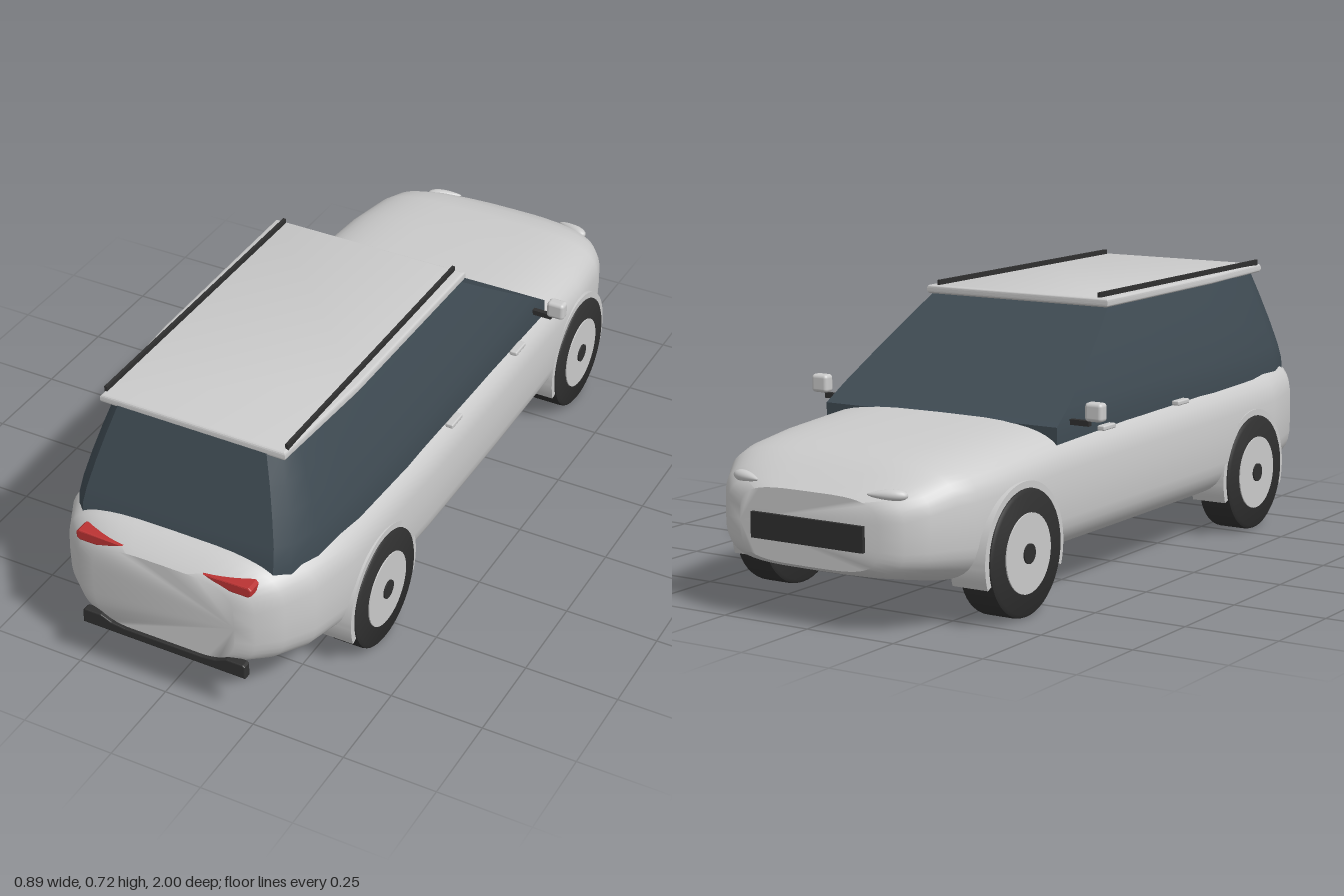
import * as THREE from 'three';
import { toCreasedNormals } from 'three/addons/utils/BufferGeometryUtils.js';
import { RoundedBoxGeometry } from 'three/addons/geometries/RoundedBoxGeometry.js';

const mat = (color) => new THREE.MeshStandardMaterial({ color });
const paint = mat(0xcccccc), glass = mat(0x3f4b53), rubber = mat(0x303030), red = mat(0xbb3333);

// Closed skin through rings of [x, y, z], with both ends capped
function loft(rings, crease) {
  const n = rings[0].length, pos = rings.flat(2), idx = [];
  for (let i = 0; i < rings.length - 1; i++)
    for (let j = 0; j < n; j++) {
      const k = (j + 1) % n, a = i * n + j, b = i * n + k;
      idx.push(a, a + n, b, b, a + n, b + n);
    }
  const last = (rings.length - 1) * n;
  for (let j = 1; j < n - 1; j++) idx.push(0, j, j + 1, last, last + j + 1, last + j);
  const g = new THREE.BufferGeometry();
  g.setAttribute('position', new THREE.Float32BufferAttribute(pos, 3));
  g.setIndex(idx);
  return toCreasedNormals(g, crease);
}

// Body section: rounded rectangle given by a superellipse
function bodyRing([z, w, y0, y1]) {
  const p = 2 / 3.9, pts = [];
  for (let i = 0; i < 48; i++) {
    const a = (i / 48) * Math.PI * 2, c = Math.cos(a), s = Math.sin(a);
    pts.push([w * Math.sign(c) * Math.abs(c) ** p,
      (y0 + y1) / 2 + ((y1 - y0) / 2) * Math.sign(s) * Math.abs(s) ** p, z]);
  }
  return pts;
}

// Cabin section: square at the windscreen, rounded at the tail
function cabinRing([y, w, f, r]) {
  const half = [[1, 0], [1, 0.3], [0.995, 0.6], [0.97, 0.78], [0.92, 0.91], [0.85, 0.975], [0.76, 1]];
  const side = (s) => half.map(([x, t]) => [s * x * w, y, f + t * (r - f)]);
  return [...side(1), ...side(-1).reverse()];
}

function polygon(points) {
  return new THREE.Shape(points.map(([x, y]) => new THREE.Vector2(x, y)));
}

export function createModel() {
  const car = new THREE.Group();
  car.name = 'car';
  const add = (name, geo, material, x = 0, y = 0, z = 0, parent = car) => {
    const m = new THREE.Mesh(geo, material);
    m.name = name;
    m.position.set(x, y, z);
    parent.add(m);
    return m;
  };
  const box = (w, h, d) => new THREE.BoxGeometry(w, h, d);

  // Body shell, tail to nose: z, half width, bottom, top
  const stations = [
    [0.99, 0.2, 0.155, 0.395], [0.975, 0.25, 0.148, 0.41], [0.93, 0.305, 0.138, 0.44],
    [0.85, 0.347, 0.122, 0.452], [0.7, 0.373, 0.1, 0.455], [0.3, 0.386, 0.1, 0.455],
    [-0.1, 0.386, 0.1, 0.45], [-0.45, 0.381, 0.1, 0.44], [-0.65, 0.377, 0.1, 0.428],
    [-0.8, 0.36, 0.1, 0.415], [-0.86, 0.34, 0.112, 0.405], [-0.92, 0.305, 0.125, 0.375],
    [-0.965, 0.262, 0.137, 0.348], [-0.99, 0.205, 0.15, 0.333],
  ];
  add('body', loft(stations.map(bodyRing), 0.75), paint);

  // Glass cabin, bottom to top: y, half width, front z, rear z
  const levels = [
    [0.39, 0.352, -0.44, 0.92], [0.435, 0.352, -0.44, 0.915], [0.48, 0.344, -0.37, 0.9],
    [0.55, 0.323, -0.265, 0.877], [0.62, 0.299, -0.16, 0.853], [0.695, 0.27, -0.05, 0.828],
  ];
  add('glassCabin', loft(levels.map(cabinRing), 0.5), glass);

  // Roof panel
  const roof = new THREE.ExtrudeGeometry(
    polygon([[-0.272, -0.07], [0.272, -0.07], [0.267, 0.5], [0.247, 0.82], [-0.247, 0.82], [-0.267, 0.5]]),
    { depth: 0.006, bevelSize: 0.009, bevelThickness: 0.009, bevelSegments: 4 });
  add('roof', toCreasedNormals(roof.rotateX(Math.PI / 2), 0.6), paint, 0, 0.701, 0);

  // Wheel arch lip, along x
  const lip = new THREE.Shape();
  lip.absarc(0, 0, 0.176, -0.35, Math.PI + 0.35, false);
  lip.absarc(0, 0, 0.155, Math.PI + 0.35, -0.35, true);
  const arch = toCreasedNormals(new THREE.ExtrudeGeometry(lip, { depth: 0.1, bevelEnabled: false, curveSegments: 32 })
    .translate(0, 0, -0.05).rotateY(Math.PI / 2), 0.5);

  // Tyre profile turned about the axle
  const tyre = toCreasedNormals(new THREE.LatheGeometry(
    [[0, -0.05], [0.15, -0.05], [0.158, -0.045], [0.16, -0.038], [0.16, 0.038], [0.158, 0.045], [0.15, 0.05], [0, 0.05]]
      .map(([r, h]) => new THREE.Vector2(r, h)), 48).rotateZ(-Math.PI / 2), 0.6);
  const disc = (r, w) => new THREE.CylinderGeometry(r, r, w, 40).rotateZ(Math.PI / 2);

  for (const s of [1, -1]) {
    const tag = s > 0 ? 'Left' : 'Right';

    // Wheels and arches
    for (const [z, end] of [[0.56, 'tail'], [-0.63, 'nose']]) {
      const wheel = new THREE.Group();
      wheel.name = `${end}${tag}Wheel`;
      wheel.position.set(s * 0.338, 0.16, z);
      car.add(wheel);
      add('tyre', tyre, rubber, 0, 0, 0, wheel);
      add('rim', disc(0.1, 0.01), paint, s * 0.048, 0, 0, wheel);
      add('hubCap', disc(0.025, 0.014), rubber, s * 0.05, 0, 0, wheel);
      add(`${end}${tag}Arch`, arch, paint, s * 0.33, 0.16, z);
    }

    // Roof rails
    add(`roofRail${tag}`, box(0.008, 0.016, 0.88), rubber, s * 0.25, 0.715, 0.37);

    // Mirrors
    add(`mirrorArm${tag}`, box(0.09, 0.014, 0.014), rubber, s * 0.36, 0.44, -0.37);
    add(`mirror${tag}`, new RoundedBoxGeometry(0.05, 0.048, 0.034, 4, 0.01), paint, s * 0.42, 0.47, -0.367);

    // Door handles
    for (const z of [0.155, -0.23])
      add(`doorHandle${tag}`, new RoundedBoxGeometry(0.022, 0.013, 0.06, 2, 0.004), paint, s * 0.37, z > 0 ? 0.416 : 0.408, z);

    // Tail lamps: wedge thinning toward the middle
    const wedge = polygon([[0.118, 0.405], [0.15, 0.394], [0.185, 0.384], [0.235, 0.384], [0.241, 0.389], [0.241, 0.401], [0.236, 0.406]]
      .map(([x, y]) => [s * x, y]));
    add(`tailLamp${tag}`, new THREE.ExtrudeGeometry(wedge,
      { depth: 0.034, bevelSize: 0.004, bevelThickness: 0.004, bevelSegments: 2 }), red, 0, 0, 0.946);

    // Head lamps: tapered drop set across the corner of the nose
    const drop = new THREE.SphereGeometry(1, 24, 16), p = drop.attributes.position;
    for (let i = 0; i < p.count; i++) {
      const k = 0.7 + 0.3 * s * p.getX(i);
      p.setXYZ(i, p.getX(i) * 0.05, p.getY(i) * 0.019 * k, p.getZ(i) * 0.022 * k);
    }
    drop.computeVertexNormals();
    add(`headLamp${tag}`, drop, paint, s * 0.208, 0.341, -0.957).rotation.y = -s * 0.35;
  }

  // Nose grille
  add('grille', box(0.33, 0.064, 0.03), rubber, 0, 0.236, -0.985);

  // Tail bumper with raised ends
  const outline = [[0.228, 0.139], [0.228, 0.17], [0.224, 0.174], [0.18, 0.174], [0.15, 0.161], [0.11, 0.156]];
  const bumper = polygon([...outline, ...outline.map(([x, y]) => [-x, y]).reverse()]);
  add('bumper', new THREE.ExtrudeGeometry(bumper,
    { depth: 0.018, bevelSize: 0.003, bevelThickness: 0.003, bevelSegments: 2 }), rubber, 0, 0, 0.979);

  return car;
}
